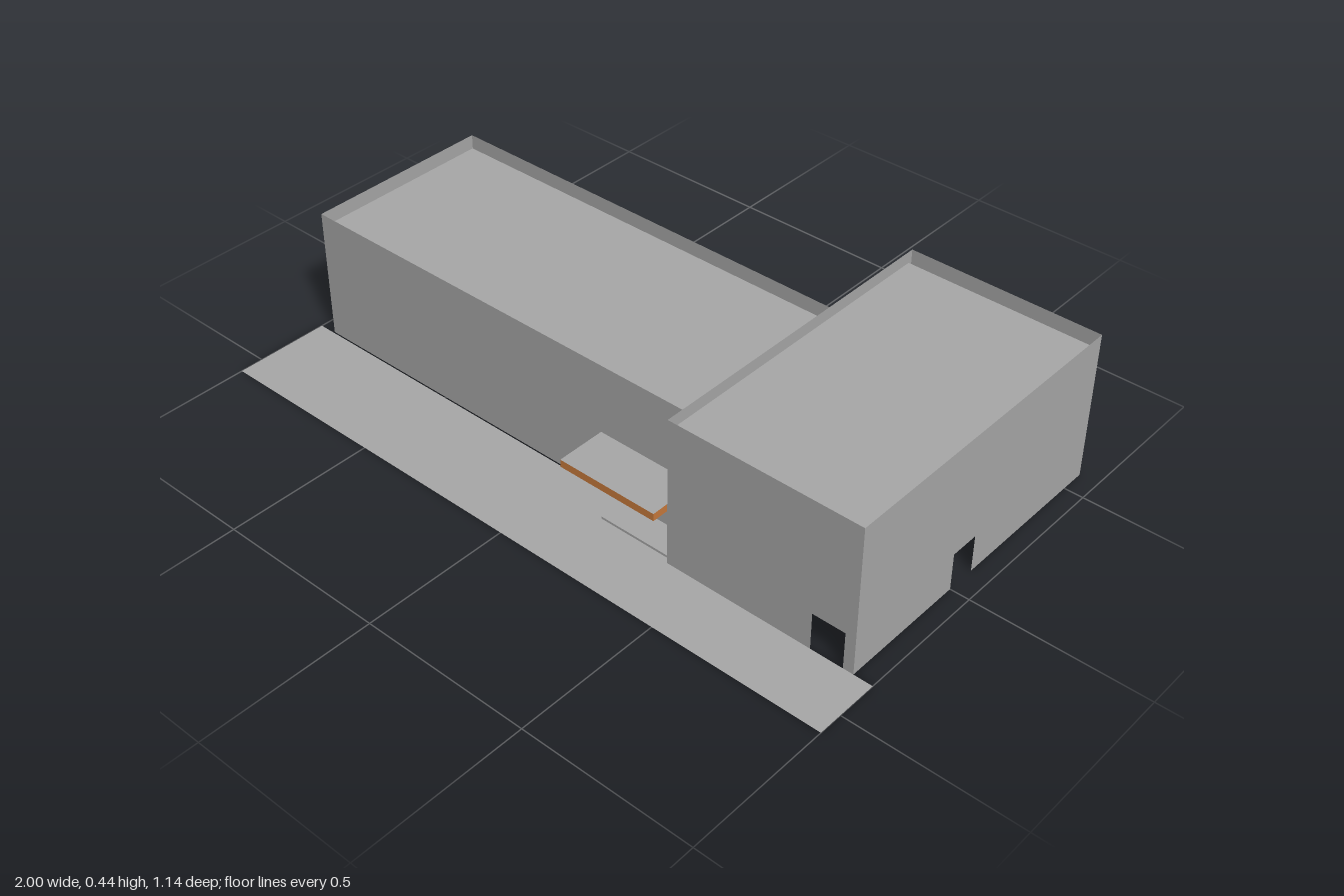
import * as THREE from 'three';

export function createModel() {
  const model = new THREE.Group();
  model.name = 'building';

  const grey = new THREE.MeshStandardMaterial({ color: 0xa8a8a8, side: THREE.DoubleSide });
  grey.name = 'concrete grey';
  const dark = new THREE.MeshStandardMaterial({ color: 0x4a4a4a, side: THREE.DoubleSide });
  dark.name = 'dark grey';
  const orange = new THREE.MeshStandardMaterial({ color: 0xc87a3c });
  orange.name = 'orange';

  const add = (name, geometry, material, parent = model) => {
    const mesh = new THREE.Mesh(geometry, material);
    mesh.name = name;
    parent.add(mesh);
    return mesh;
  };

  // Upright sheet from (x0,z0) to (x1,z1); a door is [start, end, height] measured along it
  const wall = (name, [x0, z0], [x1, z1], height, material, parent, door) => {
    const length = Math.hypot(x1 - x0, z1 - z0);
    const s = new THREE.Shape();
    s.moveTo(0, 0);
    if (door) {
      const [a, b, h] = door;
      s.lineTo(a, 0);
      s.lineTo(a, h);
      s.lineTo(b, h);
      s.lineTo(b, 0);
    }
    s.lineTo(length, 0);
    s.lineTo(length, height);
    s.lineTo(0, height);
    const mesh = add(name, new THREE.ShapeGeometry(s), material, parent);
    mesh.position.set(x0, 0, z0);
    mesh.rotation.y = Math.atan2(z0 - z1, x1 - x0);
  };

  // Level sheet through a list of [x, z] corners
  const slab = (name, corners, y, parent) => {
    const shape = new THREE.Shape(corners.map(([x, z]) => new THREE.Vector2(x, -z)));
    const geometry = new THREE.ShapeGeometry(shape).rotateX(-Math.PI / 2);
    add(name, geometry, grey, parent).position.y = y;
  };
  const rect = (x0, x1, z0, z1) => [[x0, z1], [x1, z1], [x1, z0], [x0, z0]];

  const L = -0.95, M = 0.38, R = 0.945;        // left end, junction, right end
  const BACK = -0.572, FRONT = 0.38;           // tall wing depth
  const HB = -0.283, HF = 0.28;                // long hall depth

  // Long hall: open-bottomed walls with a roof sunk behind the parapet
  const hall = new THREE.Group();
  hall.name = 'longHall';
  model.add(hall);
  wall('hallFrontWall', [L, HF], [M, HF], 0.39, grey, hall);
  wall('hallBackWall', [M, HB], [L, HB], 0.39, grey, hall, [0.625, 0.67, 0.11]);
  wall('hallEndWall', [L, HB], [L, HF], 0.39, grey, hall);
  slab('hallRoof', rect(-0.94, M, -0.273, 0.268), 0.355, hall);

  // Tall wing with front and side doorways
  const wing = new THREE.Group();
  wing.name = 'tallWing';
  model.add(wing);
  wall('wingFrontWall', [M, FRONT], [R, FRONT], 0.44, grey, wing, [0.44, 0.535, 0.11]);
  wall('wingSideWall', [R, FRONT], [R, BACK], 0.44, grey, wing, [0.38, 0.467, 0.11]);
  wall('wingBackWall', [R, BACK], [M, BACK], 0.44, grey, wing);
  wall('wingInnerWall', [M, BACK], [M, FRONT], 0.44, grey, wing);
  slab('wingRoof', rect(M, 0.935, -0.56, 0.367), 0.405, wing);

  // Rear terrace with a low dark boundary wall
  const terrace = new THREE.Group();
  terrace.name = 'rearTerrace';
  model.add(terrace);
  slab('terraceFloor', rect(L, 0.377, BACK, -0.29), 0.001, terrace);
  wall('terraceBackRim', [M, BACK], [L, BACK], 0.093, dark, terrace);
  wall('terraceEndRim', [L, BACK], [L, HB], 0.093, dark, terrace);

  // Front pavement, stepped around the tall wing
  slab('pavement', [[-1, 0.57], [1, 0.57], [1, FRONT], [M, FRONT], [M, 0.284], [-1, 0.284]], 0);

  // Entrance step
  add('entranceStep', new THREE.BoxGeometry(0.228, 0.007, 0.085), grey)
    .position.set(0.265, 0.0045, 0.324);

  // Entrance canopy: orange edge, grey top and underside
  add('entranceCanopy', new THREE.BoxGeometry(0.304, 0.022, 0.146),
    [orange, orange, grey, grey, orange, orange]).position.set(0.227, 0.175, 0.355);

  return model;
}
